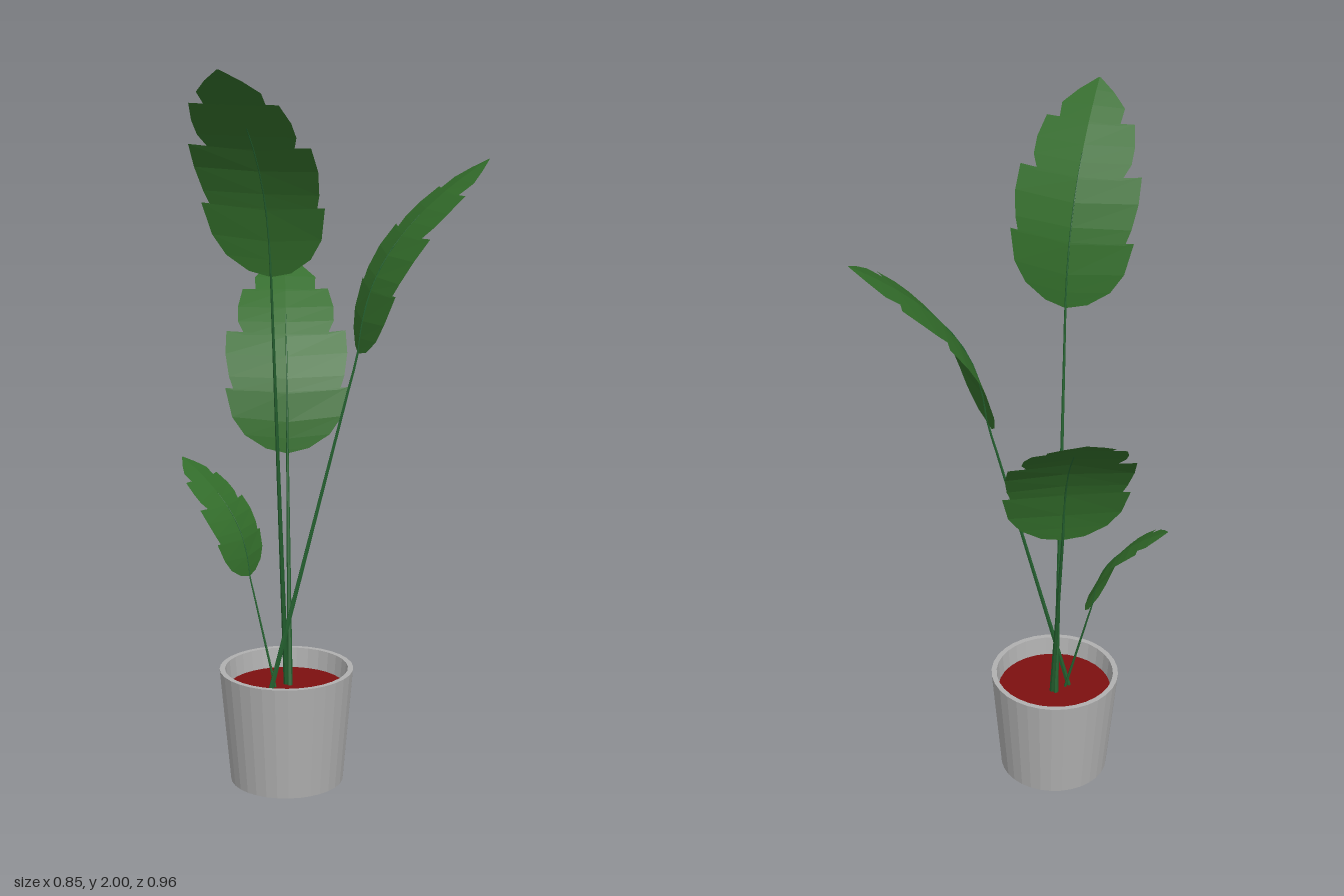
import * as THREE from 'three';

const mats = {
  pot: new THREE.MeshStandardMaterial({ color: 0xb0b0b0, side: THREE.DoubleSide }),
  soil: new THREE.MeshStandardMaterial({ color: 0x7c1010 }),
  leaf: new THREE.MeshStandardMaterial({ color: 0x326c2a, side: THREE.DoubleSide }),
  stem: new THREE.MeshStandardMaterial({ color: 0x24602f }),
};
mats.pot.name = 'greyPot';
mats.soil.name = 'redSoil';
mats.leaf.name = 'leafGreen';
mats.stem.name = 'stemGreen';

const CENTRE = [-0.14, 0.06]; // pot axis in x, z

// Half outline of a blade: position at the rim, half width, position at the midrib.
// Where the rim position steps back there is a notch between two lobes.
const OUTLINE = [
  [0, 0.004, 0], [0.025, 0.06, 0.02], [0.1, 0.12, 0.08], [0.2, 0.155, 0.17], [0.36, 0.174, 0.32],
  [0.345, 0.15, 0.33], [0.42, 0.163, 0.4], [0.54, 0.173, 0.51], [0.655, 0.17, 0.61],
  [0.63, 0.118, 0.62], [0.7, 0.137, 0.68], [0.77, 0.137, 0.75], [0.855, 0.123, 0.83],
  [0.84, 0.085, 0.84], [0.905, 0.088, 0.9], [0.955, 0.05, 0.955], [1, 0.003, 1],
];

// Each plant shoot: root in the soil, blade base, blade tip, size
const SHOOTS = [
  { name: 'tallFront', root: [-0.14, 0.26, 0.035], base: [-0.178, 1.45, 0.2], tip: [-0.308, 2, 0.48], size: 1 },
  { name: 'back', root: [-0.13, 0.26, 0.045], base: [-0.13, 0.9, -0.113], tip: [-0.127, 1.41, -0.48], size: 1 },
  { name: 'left', root: [-0.185, 0.26, 0.068], base: [0.06, 1.21, 0.02], tip: [0.42, 1.73, -0.05], size: 1 },
  { name: 'smallRight', root: [-0.17, 0.26, 0.06], base: [-0.24, 0.582, 0.02], tip: [-0.425, 0.895, -0.105], size: 0.6 },
];

function addMesh(parent, name, geometry, material) {
  const flat = geometry.index ? geometry.toNonIndexed() : geometry;
  flat.computeVertexNormals();
  const mesh = new THREE.Mesh(flat, material);
  mesh.name = name;
  parent.add(mesh);
  return mesh;
}

// Returns f(t, across, droop): a point on the arching blade surface
function bladeSurface({ base, tip }) {
  const b = new THREE.Vector3(...base);
  const out = new THREE.Vector3(...tip).sub(b);
  const rise = out.y;
  out.y = 0;
  const reach = out.length();
  out.normalize();
  const side = new THREE.Vector3(-out.z, 0, out.x);
  return (t, across = 0, droop = 0) => {
    const h = reach * (0.15 * t + 0.85 * t ** 2.6);
    const slope = reach * (0.15 + 2.21 * t ** 1.6);
    const len = Math.hypot(slope, rise);
    const p = b.clone().addScaledVector(out, h + droop * rise / len).addScaledVector(side, across);
    p.y += rise * t - droop * slope / len;
    return p;
  };
}

// Lobed blade, slightly folded along the midrib
function bladeGeometry(surface, size) {
  const points = [];
  const index = [];
  OUTLINE.forEach(([tRim, half, tMid], i) => {
    const w = half * size;
    points.push(surface(tRim, -w, w * 0.1), surface(tMid), surface(tRim, w, w * 0.1));
    if (i === 0) return;
    const a = (i - 1) * 3;
    for (const k of [a, a + 1]) index.push(k, k + 1, k + 4, k, k + 4, k + 3);
  });
  const g = new THREE.BufferGeometry().setFromPoints(points);
  g.setIndex(index);
  return g;
}

// Stem that tapers and runs on as the midrib
function stemGeometry(surface, root, size) {
  const start = new THREE.Vector3(...root);
  const base = surface(0);
  const curve = new THREE.CatmullRomCurve3([
    start, start.clone().lerp(base, 0.5), start.clone().lerp(base, 0.9),
    base, surface(0.2), surface(0.4), surface(0.56), surface(0.72),
  ]);
  const segments = 24, sides = 6;
  const g = new THREE.TubeGeometry(curve, segments, 0.0075 * (size < 1 ? 0.55 : 1), sides);
  const pos = g.attributes.position;
  const v = new THREE.Vector3();
  for (let i = 0; i < pos.count; i++) {
    const t = Math.floor(i / (sides + 1)) / segments;
    const c = curve.getPointAt(t);
    v.fromBufferAttribute(pos, i).sub(c).multiplyScalar(1 - 0.8 * t).add(c);
    pos.setXYZ(i, v.x, v.y, v.z);
  }
  return g;
}

export function createModel() {
  const model = new THREE.Group();
  model.name = 'pottedPlant';

  // Tapered pot with a thick rim and inner wall
  const profile = [[0, 0], [0.158, 0], [0.187, 0.325], [0.172, 0.325], [0.165, 0.255]]
    .map(([x, y]) => new THREE.Vector2(x, y));
  const pot = addMesh(model, 'pot', new THREE.LatheGeometry(profile, 32), mats.pot);
  pot.position.set(CENTRE[0], 0, CENTRE[1]);

  // Soil disc
  const soil = addMesh(model, 'soil', new THREE.CircleGeometry(0.166, 32).rotateX(-Math.PI / 2), mats.soil);
  soil.position.set(CENTRE[0], 0.268, CENTRE[1]);

  // Four shoots, each a stem and a blade
  for (const shoot of SHOOTS) {
    const group = new THREE.Group();
    group.name = shoot.name + 'Shoot';
    const surface = bladeSurface(shoot);
    addMesh(group, shoot.name + 'Leaf', bladeGeometry(surface, shoot.size), mats.leaf);
    addMesh(group, shoot.name + 'Stem', stemGeometry(surface, shoot.root, shoot.size), mats.stem);
    model.add(group);
  }
  return model;
}
